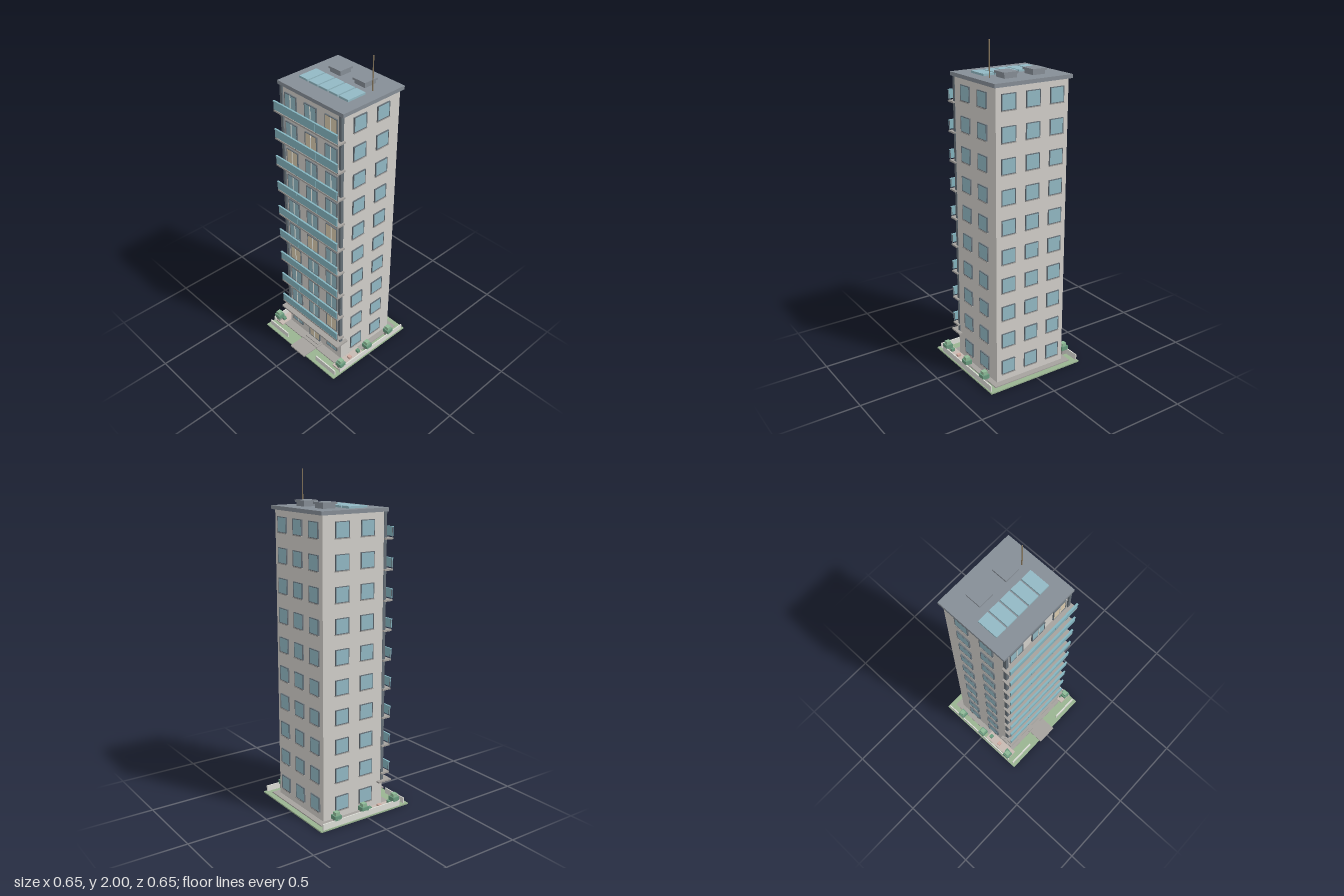
import * as THREE from 'three';

const mat = (color) => new THREE.MeshStandardMaterial({ color });
const M = {
  wall: mat(0xd2cfca), stone: mat(0xa5a29e), roof: mat(0x868e96), dark: mat(0x667078),
  glass: mat(0x92b9c4), rail: mat(0x84b4bf), lit: mat(0xd9caae), lawn: mat(0x9ab491),
  fence: mat(0xdedfd8), hedge: mat(0x6a9c7f), leaf: mat(0x8fbb98), terrace: mat(0xc6bab2),
  clay: mat(0xd0aba0), mast: mat(0x8a7a60),
};

// Box given by its minimum and maximum corners
function box(parent, name, material, [x0, y0, z0], [x1, y1, z1]) {
  const mesh = new THREE.Mesh(new THREE.BoxGeometry(x1 - x0, y1 - y0, z1 - z0), material);
  mesh.position.set((x0 + x1) / 2, (y0 + y1) / 2, (z0 + z1) / 2);
  mesh.name = name;
  parent.add(mesh);
  return mesh;
}

// Window facing +z at its origin: frame bars, pane, optional mullion and sill
function makeWindow(name, w, h, pane, mullion, sill) {
  const g = new THREE.Group();
  g.name = name;
  const t = 0.004, d = 0.008, a = w / 2, b = h / 2;
  box(g, 'pane', pane, [-a + t, -b + t, -0.004], [a - t, b - t, 0.006]);
  for (const s of [-1, 1]) {
    box(g, 'frameSide', M.dark, [s * (a - t / 2) - t / 2, -b, -0.004], [s * (a - t / 2) + t / 2, b, d]);
    box(g, 'frameRail', M.dark, [-a, s * (b - t / 2) - t / 2, -0.004], [a, s * (b - t / 2) + t / 2, d]);
  }
  if (mullion) box(g, 'mullion', M.fence, [-0.0015, -b + t, 0], [0.0015, b - t, 0.01]);
  if (sill) box(g, 'sill', M.stone, [-a - 0.002, -b - 0.005, -0.004], [a + 0.002, -b, 0.01]);
  return g;
}

export function createModel() {
  const model = new THREE.Group();
  model.name = 'apartmentTower';
  const pitch = 0.1765, floors = 10;
  const X = 0.24, ZF = 0.167, ZB = -0.257;

  // Site
  const site = new THREE.Group();
  site.name = 'site';
  model.add(site);
  box(site, 'lawn', M.lawn, [-0.324, 0, -0.329], [0.324, 0.008, 0.311]);
  box(site, 'plaza', M.stone, [-0.274, 0.006, -0.295], [0.274, 0.014, 0.223]);
  box(site, 'path', M.stone, [-0.065, 0.004, 0.2], [0.065, 0.014, 0.325]);
  box(site, 'lowerStep', M.stone, [-0.07, 0.012, 0.16], [0.07, 0.019, 0.22]);
  box(site, 'upperStep', M.stone, [-0.058, 0.019, 0.16], [0.058, 0.025, 0.2]);
  for (const s of [-1, 1]) {
    const side = (name, m, x0, x1, y0, y1, z0, z1) =>
      box(site, name, m, [Math.min(s * x0, s * x1), y0, z0], [Math.max(s * x0, s * x1), y1, z1]);
    side('sideFence', M.fence, 0.311, 0.318, 0.006, 0.045, -0.312, 0.25);
    side('frontFence', M.fence, 0.135, 0.31, 0.006, 0.043, 0.282, 0.289);
    side('terrace', M.terrace, 0.243, 0.303, 0.006, 0.018, 0.025, 0.243);
    side('terracePlant', M.hedge, 0.263, 0.286, 0.018, 0.036, 0.04, 0.061);
    side('terraceSeat', M.clay, 0.263, 0.286, 0.018, 0.032, 0.114, 0.136);
    side('terracePlant', M.hedge, 0.263, 0.286, 0.018, 0.036, 0.19, 0.212);
    for (const z of [-0.204, -0.01, 0.222]) {
      side('planter', M.stone, 0.28, 0.311, 0.006, 0.04, z - 0.015, z + 0.015);
      side('hedge', M.hedge, 0.273, 0.318, 0.04, 0.066, z - 0.0225, z + 0.0225);
      side('hedgeTop', M.leaf, 0.281, 0.31, 0.066, 0.086, z - 0.0145, z + 0.0145);
    }
  }

  // Main block with dark corner columns
  box(model, 'towerBody', M.wall, [-X, 0.006, ZB], [X, 1.778, ZF]);
  for (const s of [-1, 1]) {
    box(model, 'cornerColumn', M.dark, [s * 0.233 - 0.009, 0.17, ZF - 0.01], [s * 0.233 + 0.009, 1.778, ZF + 0.01]);
  }

  // Windows on every side, with some lit rooms at the front
  const place = (win, x, y, z, turn) => {
    win.position.set(x, y, z);
    win.rotation.y = turn;
    model.add(win);
  };
  const litColumn = [1, 2, -1, 0];
  for (let i = 0; i < floors; i++) {
    const y = 0.105 + i * pitch;
    for (let c = 0; c < 3; c++) {
      const x = (c - 1) * 0.16;
      place(makeWindow('backWindow', 0.092, 0.09, M.glass, false, true), x, y, ZB, Math.PI);
      if (i === 0 && c === 1) continue;
      const lit = i > 0 && litColumn[i % 4] === c;
      place(makeWindow('frontWindow', 0.094, 0.098, lit ? M.lit : M.glass, true, false), x, y + 0.001, ZF, 0);
    }
    for (const s of [-1, 1]) {
      for (const z of [0.042, -0.13]) {
        place(makeWindow('sideWindow', 0.092, 0.09, M.glass, false, true), s * X, y, z, s * Math.PI / 2);
      }
    }
  }

  // Entrance
  place(makeWindow('entranceDoor', 0.096, 0.13, M.lit, true, false), 0, 0.09, ZF, 0);
  box(model, 'entranceCanopy', M.stone, [-0.262, 0.159, 0.13], [0.262, 0.169, 0.223]);

  // Balconies: slab, three glass panels and posts
  for (let i = 1; i < floors; i++) {
    const y = 0.213 + (i - 1) * pitch;
    const balcony = new THREE.Group();
    balcony.name = 'balcony';
    balcony.position.y = y;
    model.add(balcony);
    box(balcony, 'slab', M.stone, [-0.255, -0.005, ZF - 0.01], [0.255, 0.005, 0.214]);
    for (let p = -1; p <= 1; p++) {
      box(balcony, 'glassPanel', M.rail, [p * 0.168 - 0.083, 0.012, 0.211], [p * 0.168 + 0.083, 0.062, 0.217]);
    }
    for (const x of [-0.249, -0.084, 0.084, 0.249]) {
      box(balcony, 'railPost', M.dark, [x - 0.002, 0.004, 0.209], [x + 0.002, 0.062, 0.213]);
    }
    box(balcony, 'handrail', M.rail, [-0.252, 0.061, 0.209], [0.252, 0.066, 0.22]);
  }

  // Roof with vents, solar panels and mast
  const roof = new THREE.Group();
  roof.name = 'roof';
  model.add(roof);
  box(roof, 'roofSlab', M.roof, [-0.257, 1.776, -0.273], [0.257, 1.798, 0.178]);
  for (const x of [-0.095, 0.093]) {
    box(roof, 'ventBase', M.roof, [x - 0.04, 1.798, -0.18], [x + 0.04, 1.822, -0.098]);
    box(roof, 'ventCap', M.roof, [x - 0.047, 1.82, -0.187], [x + 0.047, 1.832, -0.091]);
  }
  for (let i = 0; i < 5; i++) {
    const x = -0.163 + i * 0.078;
    box(roof, 'solarPanel', M.glass, [x - 0.034, 1.798, -0.052], [x + 0.034, 1.81, 0.073]);
  }
  const mast = new THREE.Mesh(new THREE.CylinderGeometry(0.003, 0.004, 0.204, 8), M.mast);
  mast.name = 'mast';
  mast.position.set(0.18, 1.898, -0.108);
  roof.add(mast);

  return model;
}
